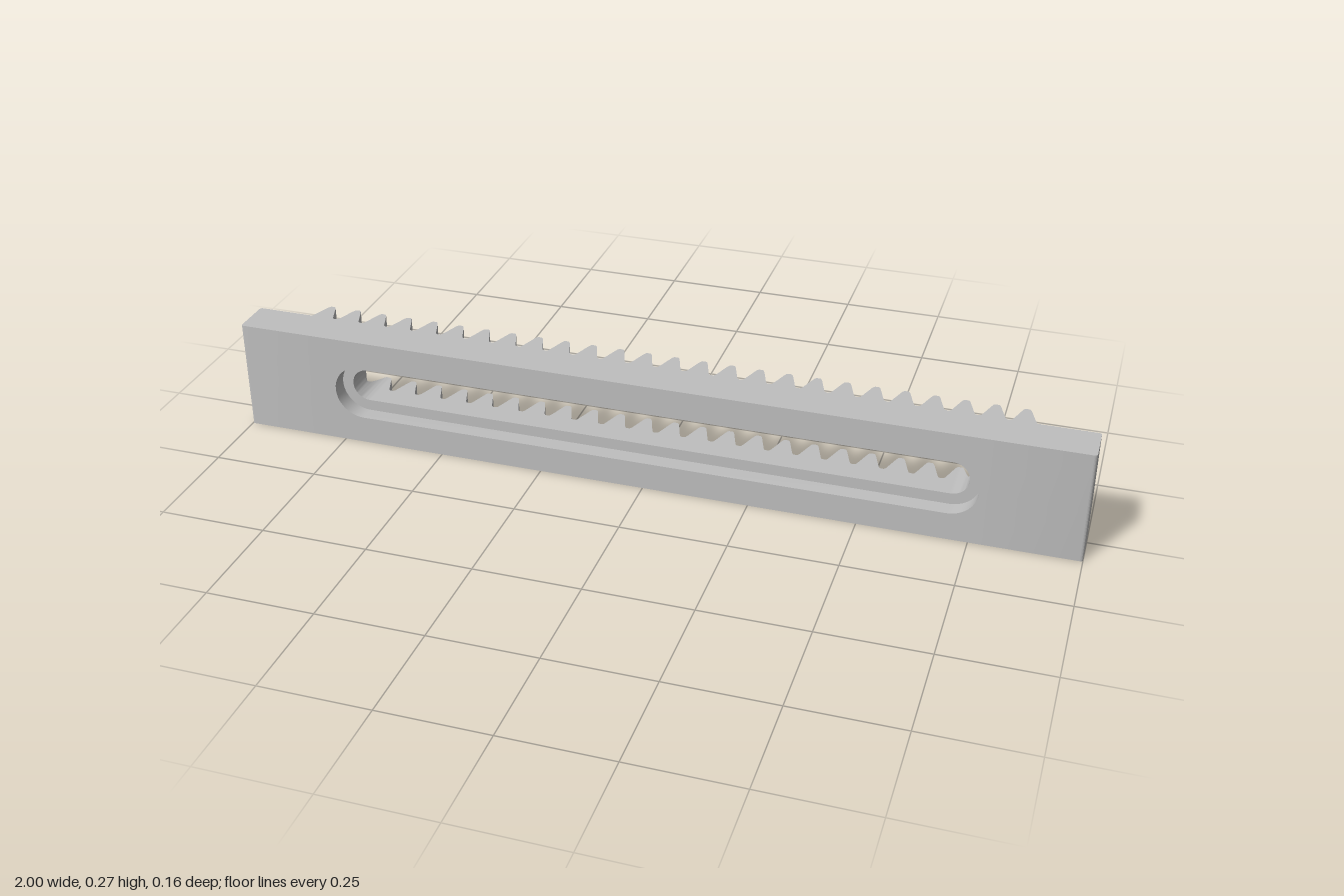
import * as THREE from 'three';
import { toCreasedNormals, mergeVertices } from 'three/addons/utils/BufferGeometryUtils.js';

const HEIGHT = 0.267, MID = HEIGHT / 2;
const FRONT = 0.078, FLOOR = 0.038, BACK = -0.02, TIP = -0.078;
const SLOT_CENTRE = 0.698; // x of the slot's end arcs
const TEETH = 26, PITCH = 0.0668, FILLET = 0.006;

// Rounded end corner: points [x, z] from the face to the end
function corner(z, inward) {
  const pts = [];
  for (let i = 0; i <= 4; i++) {
    const a = (i / 4) * Math.PI / 2;
    pts.push([1 - FILLET + FILLET * Math.sin(a), z + inward * FILLET * (1 - Math.cos(a))]);
  }
  return pts;
}

const mirrored = (pts) => pts.map(([x, z]) => [-x, z]).reverse();

// Flat front outline with rounded ends
function frontProfile() {
  const end = corner(FRONT, -1);
  return [...mirrored(end), ...end];
}

// Rear outline with the row of teeth
function backProfile() {
  const half = [[0.0045, TIP], [0.0075, -0.075], [0.0105, -0.068], [0.0245, -0.027], [0.027, -0.022], [0.030, BACK]];
  const tooth = [...mirrored(half), ...half];
  const end = corner(BACK, 1);
  const pts = mirrored(end);
  for (let i = 0; i < TEETH; i++) {
    const cx = (i - (TEETH - 1) / 2) * PITCH;
    tooth.forEach(([x, z]) => pts.push([cx + x, z]));
  }
  return [...pts, ...end];
}

// Linear look-up of z along a profile
function zAt(profile, x) {
  for (let i = 1; i < profile.length; i++) {
    const [x0, z0] = profile[i - 1], [x1, z1] = profile[i];
    if (x <= x1) return z0 + (z1 - z0) * Math.max(0, (x - x0) / (x1 - x0));
  }
  return profile[profile.length - 1][1];
}

// Half-height of a round-ended slot at x
function slotHalf(x, r) {
  const d = Math.max(0, Math.abs(x) - SLOT_CENTRE);
  return d >= r - 1e-6 ? 0 : Math.sqrt(r * r - d * d);
}

// Lofts rectangular sections along x, below and above the slot
function slottedLayer(front, back, r, skipFace) {
  let xs = [...front, ...back].map((p) => p[0]);
  for (let i = 0; i <= 10; i++) {
    const x = SLOT_CENTRE + r * Math.sin((i / 10) * Math.PI / 2);
    xs.push(x, -x);
  }
  xs.sort((a, b) => a - b);
  xs = xs.filter((x, i) => i === 0 || x - xs[i - 1] > 1e-6);

  const pos = [];
  const quad = (a, b, c, d) => [a, b, c, a, c, d].forEach((p) => pos.push(...p));
  for (const upper of [false, true]) {
    const innerFace = upper ? 3 : 1;
    const sections = xs.map((x) => {
      const h = slotHalf(x, r);
      const y0 = upper ? MID + h : 0, y1 = upper ? HEIGHT : MID - h;
      const zf = zAt(front, x), zb = zAt(back, x);
      return [[x, y0, zf], [x, y1, zf], [x, y1, zb], [x, y0, zb]];
    });
    for (let i = 0; i < xs.length - 1; i++) {
      const s = sections[i], t = sections[i + 1];
      const solid = slotHalf(xs[i], r) + slotHalf(xs[i + 1], r) === 0;
      for (let k = 0; k < 4; k++) {
        if (k === skipFace || (k === innerFace && solid)) continue;
        const n = (k + 1) % 4;
        quad(s[k], t[k], t[n], s[n]);
      }
    }
    const a = sections[0], b = sections[sections.length - 1];
    quad(a[0], a[1], a[2], a[3]);
    quad(b[0], b[3], b[2], b[1]);
  }
  const geo = new THREE.BufferGeometry();
  geo.setAttribute('position', new THREE.Float32BufferAttribute(pos, 3));
  return toCreasedNormals(mergeVertices(geo), 0.5);
}

export function createModel() {
  const steel = new THREE.MeshStandardMaterial({ color: 0xbfbfbf });
  steel.name = 'grey steel';
  const group = new THREE.Group();
  group.name = 'slottedRack';
  const seam = [[-1, FLOOR], [1, FLOOR]];

  // Front of the bar with the wide recess
  const face = new THREE.Mesh(slottedLayer(frontProfile(), seam, 0.067, 2), steel);
  face.name = 'recessedFrontBar';

  // Rear of the bar with the narrow slot cutting through the teeth
  const rack = new THREE.Mesh(slottedLayer(seam, backProfile(), 0.04, -1), steel);
  rack.name = 'toothedBackBar';

  group.add(face, rack);
  return group;
}
